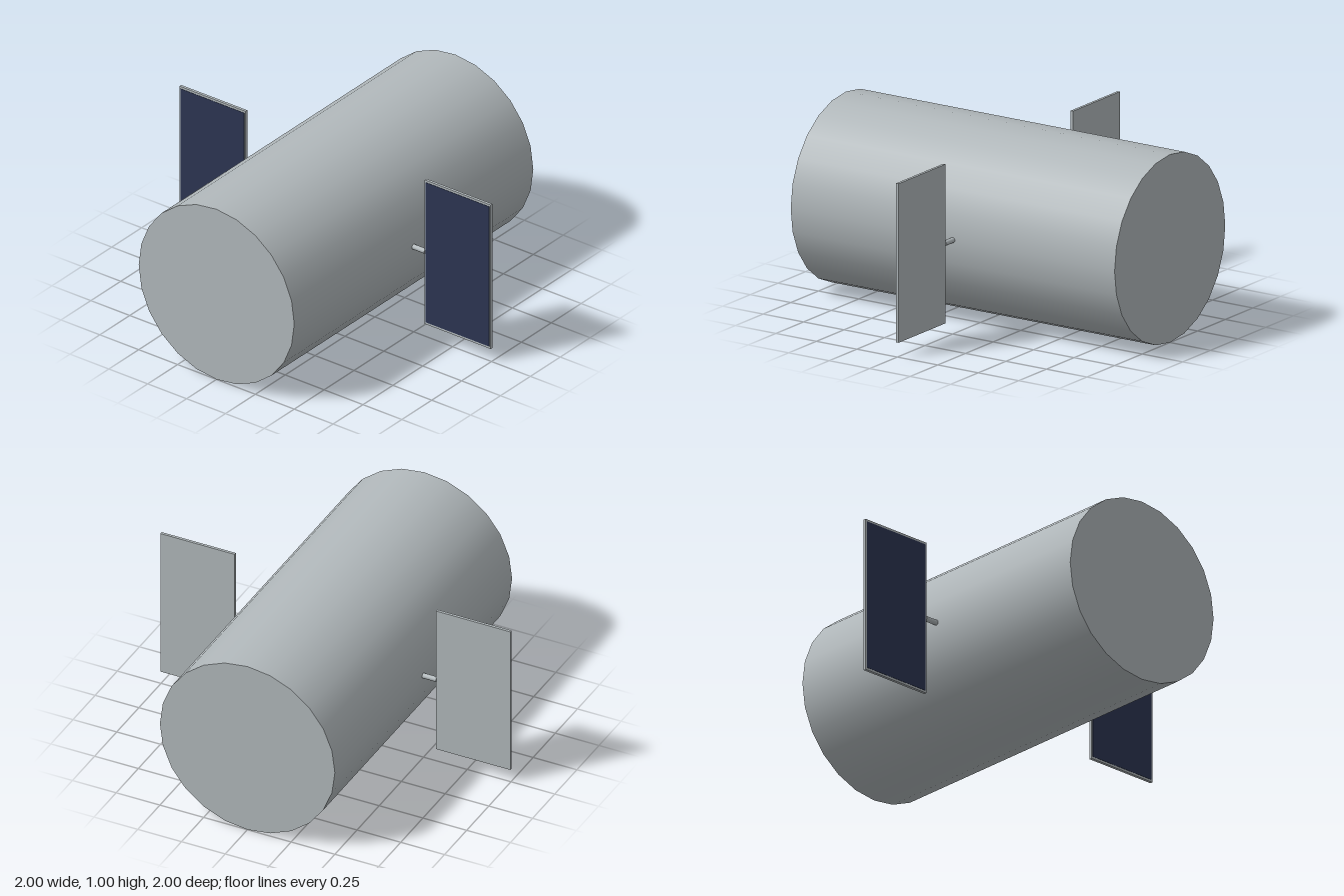
import * as THREE from 'three';

export function createModel() {
  const model = new THREE.Group();
  const hull = new THREE.MeshStandardMaterial({ name: 'hull grey', color: 0xb0b7ba });
  const cells = new THREE.MeshStandardMaterial({ name: 'solar navy', color: 0x2c3552 });

  const add = (parent, name, geometry, material, x, y, z) => {
    const mesh = new THREE.Mesh(geometry, material);
    mesh.name = name;
    mesh.position.set(x, y, z);
    parent.add(mesh);
    return mesh;
  };

  // Main drum, lying along z
  const body = new THREE.CylinderGeometry(0.5, 0.5, 2, 24).rotateX(Math.PI / 2);
  add(model, 'body', body, hull, 0, 0.5, 0);

  // One wing on each side: boom, panel and a thin cell sheet on the front
  for (const [side, label] of [[1, 'left'], [-1, 'right']]) {
    const wing = new THREE.Group();
    wing.name = `${label}Wing`;
    const boom = new THREE.CylinderGeometry(0.014, 0.014, 0.1, 12).rotateZ(Math.PI / 2);
    add(wing, 'boom', boom, hull, side * 0.527, 0.5, 0);
    add(wing, 'panel', new THREE.BoxGeometry(0.424, 0.846, 0.015), hull, side * 0.788, 0.5, 0);
    add(wing, 'solarCells', new THREE.BoxGeometry(0.408, 0.822, 0.003), cells, side * 0.788, 0.5, 0.0075);
    model.add(wing);
  }
  return model;
}
